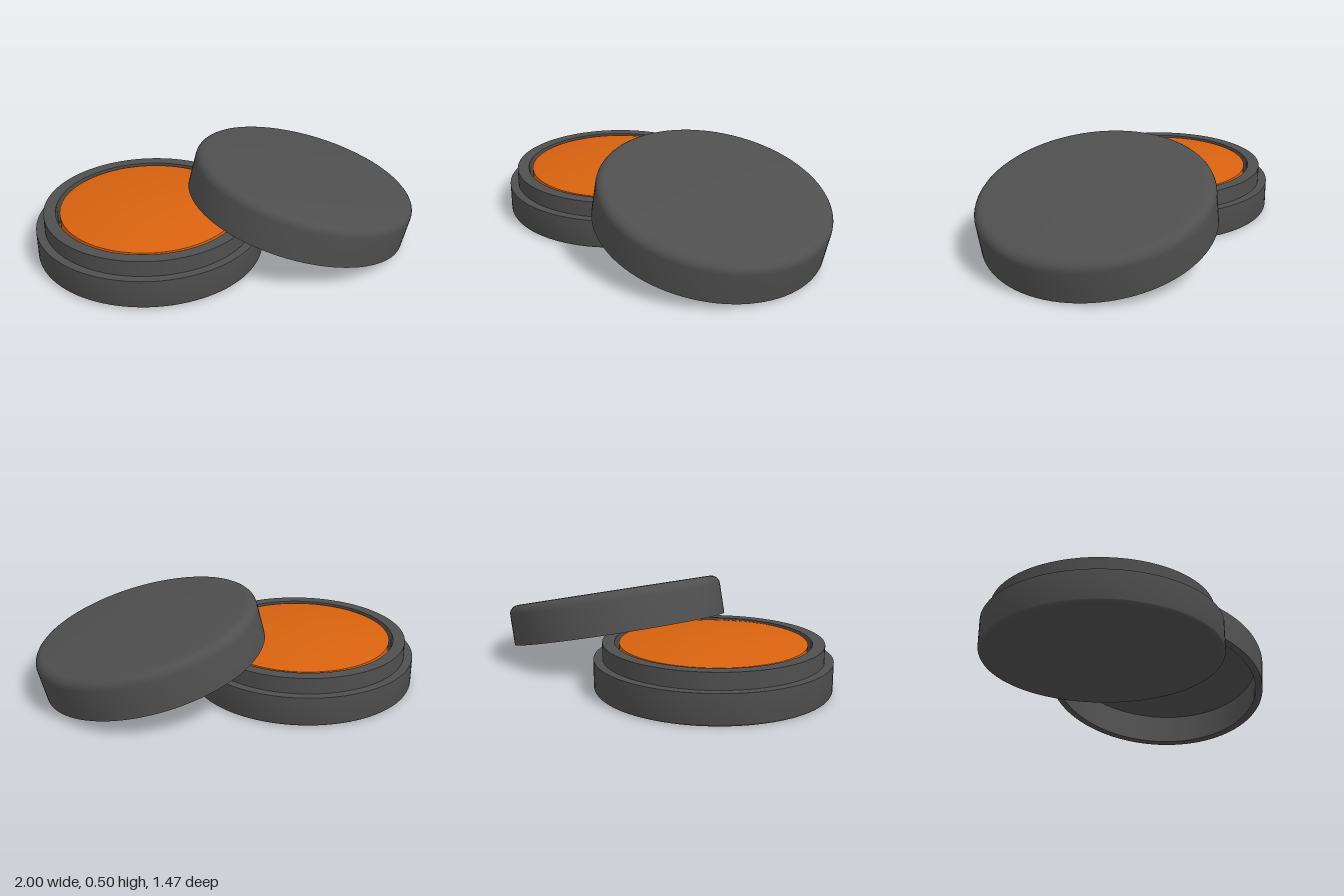
import * as THREE from 'three';
import { toCreasedNormals } from 'three/addons/utils/BufferGeometryUtils.js';

const SEGMENTS = 96;

// Revolve a profile of [radius, height] pairs, keeping hard edges sharp
function turned(name, profile, material) {
  const points = profile.map(([r, y]) => new THREE.Vector2(r, y));
  const geometry = toCreasedNormals(new THREE.LatheGeometry(points, SEGMENTS), 0.6);
  const mesh = new THREE.Mesh(geometry, material);
  mesh.name = name;
  return mesh;
}

// Quarter-round profile between two angles
function fillet(r, y, radius, from, to, steps = 6) {
  return Array.from({ length: steps + 1 }, (_, i) => {
    const a = from + (to - from) * i / steps;
    return [r + radius * Math.cos(a), y + radius * Math.sin(a)];
  });
}

export function createModel() {
  const model = new THREE.Group();
  model.name = 'openJar';
  const grey = new THREE.MeshStandardMaterial({ color: 0x4f4f4f });
  grey.name = 'dark grey plastic';
  const orange = new THREE.MeshStandardMaterial({ color: 0xd8620f });
  orange.name = 'orange filling';

  // Open container: stepped body, neck and inner well
  const jar = new THREE.Group();
  jar.name = 'jar';
  jar.position.set(-0.395, 0, 0.13);
  jar.add(turned('jarBody', [
    [0, 0], ...fillet(0.585, 0.02, 0.02, -Math.PI / 2, 0),
    [0.605, 0.16], [0.56, 0.16], [0.56, 0.245],
    [0.497, 0.245], [0.497, 0.12], [0, 0.12],
  ], grey));

  // Domed filling sitting in the well
  const dome = Array.from({ length: 13 }, (_, i) => {
    const t = 1 - i / 12;
    return [0.475 * t, 0.24 + 0.05 * (1 - t * t)];
  });
  jar.add(turned('filling', [[0.475, 0.12], ...dome], orange));
  model.add(jar);

  // Hollow lid leaning against the jar
  const lid = turned('lid', [
    [0, 0.18], [0.566, 0.18], [0.566, 0], [0.605, 0],
    ...fillet(0.555, 0.17, 0.05, 0, Math.PI / 2), [0, 0.22],
  ], grey);
  lid.position.set(0.367, 0.152, -0.12);
  lid.quaternion.setFromUnitVectors(
    new THREE.Vector3(0, 1, 0),
    new THREE.Vector3(0.238, 1, -0.078).normalize(),
  );
  model.add(lid);
  return model;
}
